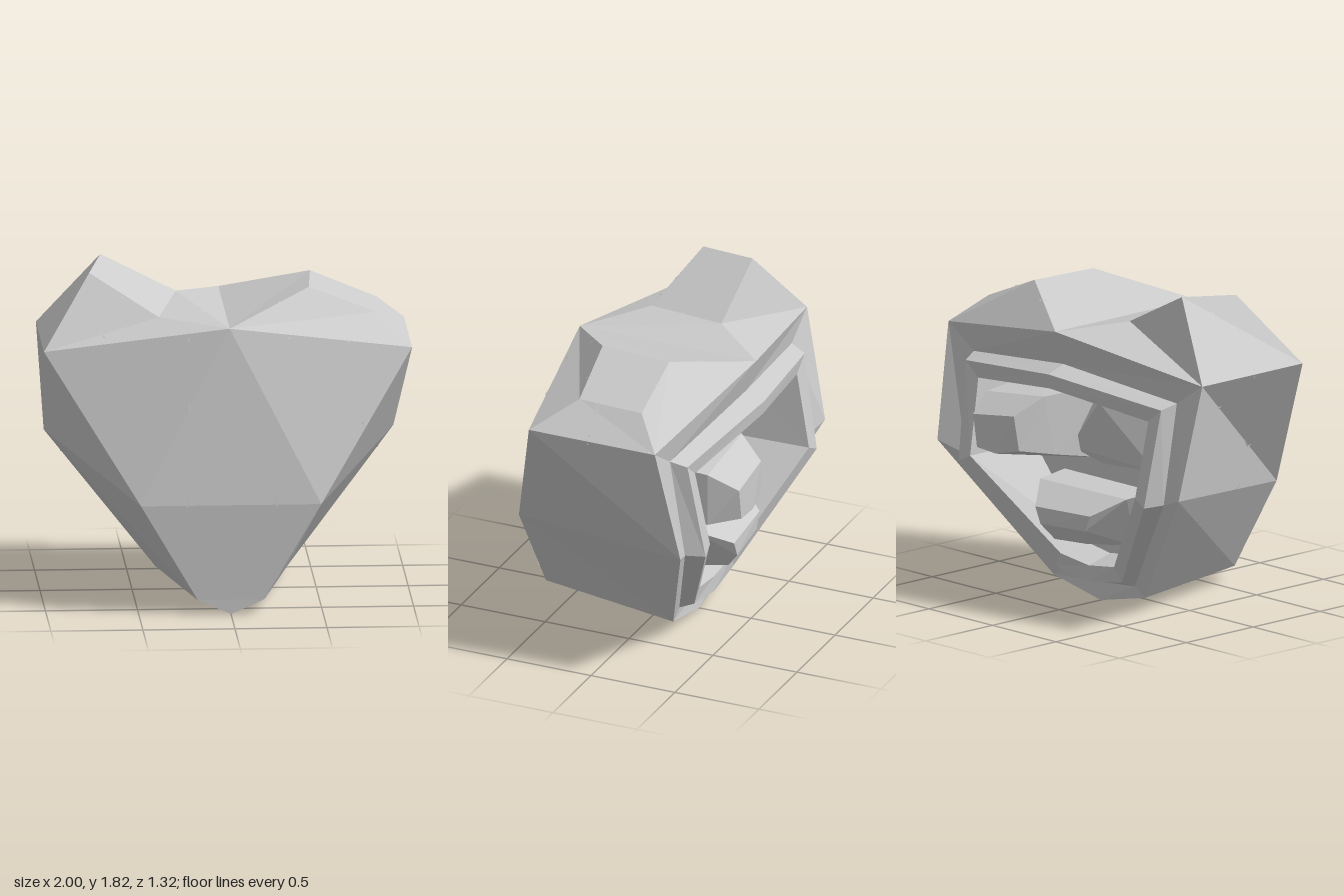
import * as THREE from 'three';
import { ConvexGeometry } from 'three/addons/geometries/ConvexGeometry.js';

const material = new THREE.MeshStandardMaterial({ color: 0xcccccc, flatShading: true, side: THREE.DoubleSide });
const v = (x, y, z) => new THREE.Vector3(x, y, z);
const mirror = (p) => v(-p.x, p.y, p.z);

// Fan each polygon into flat triangles; with a centre given, turn them outward
function facets(name, polygons, centre) {
  const pts = [];
  for (const poly of polygons) {
    for (let i = 1; i < poly.length - 1; i++) {
      const t = [poly[0], poly[i], poly[i + 1]];
      if (centre) {
        const n = t[1].clone().sub(t[0]).cross(t[2].clone().sub(t[0]));
        if (n.dot(t[0].clone().sub(centre)) < 0) t.reverse();
      }
      pts.push(...t);
    }
  }
  const geometry = new THREE.BufferGeometry().setFromPoints(pts);
  geometry.computeVertexNormals();
  const mesh = new THREE.Mesh(geometry, material);
  mesh.name = name;
  return mesh;
}

// Closed symmetric loop from top centre, down the +x side, to bottom centre and back up
function loop(top, side, bottom) {
  const half = side.map((p) => v(...p));
  return [v(...top), ...half, v(...bottom), ...half.map(mirror).reverse()];
}

// Quads between successive loops
function strips(loops) {
  const quads = [];
  for (let k = 0; k < loops.length - 1; k++) {
    const a = loops[k], b = loops[k + 1];
    a.forEach((p, i) => {
      const j = (i + 1) % a.length;
      quads.push([p, a[j], b[j], b[i]]);
    });
  }
  return quads;
}

// Rock with a small tip and a wide base, each given as [x, y, z] corners
function rock(name, corners) {
  const mesh = new THREE.Mesh(new ConvexGeometry(corners.map((p) => v(...p))), material);
  mesh.name = name;
  return mesh;
}

// Hairline cracks: flat paths projected along dir onto the shell as slim strips
function cracks(name, shell, paths, place, dir, centre) {
  const ray = new THREE.Raycaster();
  const quads = [];
  for (const path of paths) {
    for (let i = 0; i < path.length - 1; i++) {
      const a = place(...path[i]), b = place(...path[i + 1]);
      let last = null;
      for (let k = 0; k <= 10; k++) {
        ray.set(a.clone().lerp(b, k / 10).addScaledVector(dir, -3), dir);
        const hit = ray.intersectObjects(shell)[0];
        if (hit && last) {
          const n = hit.face.normal;
          const across = hit.point.clone().sub(last.point).cross(n).setLength(0.004);
          const from = last.point.clone().addScaledVector(last.face.normal, 0.003);
          const to = hit.point.clone().addScaledVector(n, 0.003);
          quads.push([from.clone().add(across), to.clone().add(across), to.sub(across), from.sub(across)]);
        }
        last = hit;
      }
    }
  }
  return facets(name, quads, centre);
}

export function createModel() {
  const group = new THREE.Group();
  group.name = 'stoneHead';
  const centre = v(0, 0.9, 0);

  // Front plate and rear rim outlines
  const front = loop([0, 1.56, 0.52], [[1, 1.41, 0.37], [0.49, 0.61, 0.66], [0.18, 0.08, 0.64]], [0, 0, 0.64]);
  const back = loop([0, 1.56, -0.53], [[1, 1.41, -0.38], [0.95, 0.78, -0.51], [0.36, 0.08, -0.2]], [0, 0, -0.19]);
  const [cf, af, df, ef, ff, efR, dfR, afR] = front;
  const [cb, ab, , , , , , abR] = back;
  const plate = facets('frontPlate', [[cf, af, df, dfR, afR], [df, ef, efR, dfR], [ef, ff, efR]], centre);

  // Sides and underside; the upper edge is left to the lobes
  const walls = [];
  for (let i = 1; i < 7; i++) walls.push([front[i], front[i + 1], back[i + 1], back[i]]);
  const sides = facets('sides', walls, centre);

  // Lower lobe on the left
  const q1 = v(0.45, 1.71, 0.18), q2 = v(0.48, 1.71, -0.23);
  const r1 = v(0.82, 1.56, 0.15), r2 = v(0.84, 1.56, -0.23);
  const leftLobe = facets('leftLobe', [
    [cf, af, r1, q1], [q1, r1, r2, q2], [r1, af, ab, r2], [q2, r2, ab, cb], [cf, q1, q2, cb],
  ], centre);

  // Taller lobe on the right
  const p1 = v(-0.74, 1.79, 0.12), p2 = v(-0.66, 1.82, -0.21);
  const p3 = v(-0.37, 1.57, 0.26), p4 = v(-0.25, 1.61, -0.21);
  const rightLobe = facets('rightLobe', [
    [cf, p3, afR], [afR, p3, p1], [p1, p3, p4, p2], [afR, p1, p2, abR], [abR, p2, p4, cb], [cf, cb, p4, p3],
  ], centre);
  const shell = [plate, sides, leftLobe, rightLobe];
  group.add(...shell);

  // Rear rim, raised frame and hollow
  const rim = loop([0, 1.37, -0.47], [[0.8, 1.28, -0.38], [0.78, 0.72, -0.46], [0.28, 0.13, -0.2]], [0, 0.1, -0.18]);
  const frame = loop([0, 1.33, -0.58], [[0.77, 1.25, -0.47], [0.73, 0.71, -0.56], [0.26, 0.16, -0.28]], [0, 0.12, -0.28]);
  const lip = loop([0, 1.25, -0.57], [[0.67, 1.17, -0.47], [0.65, 0.75, -0.55], [0.21, 0.24, -0.29]], [0, 0.21, -0.28]);
  const floor = loop([0, 1.22, -0.12], [[0.63, 1.15, -0.12], [0.6, 0.77, -0.12], [0.18, 0.28, -0.12]], [0, 0.25, -0.12]);
  group.add(facets('rearRim', strips([back, rim])));
  group.add(facets('rearFrame', strips([rim, frame, lip])));
  group.add(facets('hollow', [...strips([lip, floor]), floor]));

  // Rocks set in the hollow
  group.add(rock('upperRock', [
    [0.17, 0.88, -0.64], [0.33, 0.84, -0.66], [0.48, 0.85, -0.66], [0.51, 1.03, -0.66], [0.2, 1.07, -0.65],
    [0.1, 0.84, -0.44], [0.57, 0.82, -0.5], [0.57, 1.12, -0.5], [0.12, 1.17, -0.5],
    [0, 0.78, -0.1], [0.6, 0.78, -0.1], [0.6, 1.15, -0.1], [0, 1.2, -0.1],
  ]));
  group.add(rock('sideRock', [
    [-0.12, 1.15, -0.32], [-0.08, 0.79, -0.25], [-0.46, 0.8, -0.21], [0.12, 0.86, -0.3],
    [-0.58, 0.78, -0.1], [-0.58, 1.13, -0.1], [0.1, 1.18, -0.1], [0.1, 0.76, -0.1],
  ]));
  group.add(rock('lowerRock', [
    [-0.16, 0.46, -0.46], [0.16, 0.45, -0.49], [0.2, 0.54, -0.49], [-0.2, 0.55, -0.46],
    [-0.1, 0.37, -0.4], [0.12, 0.36, -0.42], [-0.32, 0.64, -0.3], [0.34, 0.64, -0.32],
    [-0.36, 0.66, -0.1], [0.36, 0.66, -0.1], [0.18, 0.32, -0.1], [-0.18, 0.32, -0.1],
  ]));

  // Cracks in the stone: front, both sides, top
  group.add(cracks('frontCracks', shell, [
    [[-0.87, 1.61], [-0.69, 1.53], [-0.54, 1.09], [-0.72, 1]],
    [[-0.69, 1.53], [-0.55, 1.68]],
    [[-0.54, 1.09], [-0.22, 1.07], [0.19, 1.075], [0.43, 1.17], [0.75, 1.01]],
    [[-0.22, 1.53], [-0.22, 1.07], [-0.24, 0.6], [-0.26, 0.41], [-0.36, 0.46]],
    [[-0.26, 0.41], [0.04, 0.26], [0.31, 0.33], [0.38, 0.39]],
    [[0.19, 1.075], [0.25, 0.6], [0.31, 0.33], [0.25, 0.2]],
    [[0.04, 0.26], [-0.08, 0.04]], [[0.07, 0.26], [0.08, 0.04]],
    [[0.43, 1.17], [0.43, 1.28], [0.58, 1.45], [0.8, 1.48]], [[0.43, 1.28], [0.26, 1.63]],
  ], (x, y) => v(x, y, 0), v(0, 0, -1), centre));
  const sidePaths = [
    [[0.52, 1], [0.25, 0.91], [-0.13, 0.93], [-0.27, 1.06], [-0.44, 1.06]],
    [[0.25, 0.91], [0.21, 0.7], [0.21, 0.46], [0.34, 0.3], [0.65, 0.32]],
    [[0.34, 0.3], [0.26, 0.02]], [[0.21, 0.7], [-0.33, 0.46]],
    [[0.21, 0.46], [-0.15, 0.39], [-0.15, 0.13]],
    [[-0.13, 0.93], [-0.24, 0.78], [-0.48, 0.66]],
    [[0.25, 0.91], [0, 1.27], [0.06, 1.68]],
    [[0, 1.27], [-0.28, 1.21], [-0.2, 1.13], [-0.27, 1.06]],
  ];
  for (const s of [1, -1]) {
    const name = s > 0 ? 'leftCracks' : 'rightCracks';
    group.add(cracks(name, shell, sidePaths, (z, y) => v(0, y, z), v(-s, 0, 0), centre));
  }
  group.add(cracks('topCracks', shell, [
    [[-0.19, 0.45], [-0.09, 0.1], [0.12, 0.01], [0.22, 0.24], [0.43, 0.44]],
    [[-0.09, 0.1], [-0.48, 0.01], [-0.53, -0.06], [-0.72, -0.07], [-0.93, 0.01]],
    [[0.12, 0.01], [0.17, -0.25], [0.45, -0.45], [0.65, -0.22], [0.66, 0.05], [0.65, 0.38]],
    [[0.12, 0.01], [0.66, 0.05], [0.98, 0.01]], [[-0.02, -0.5], [0, -0.3], [0.17, -0.25]],
  ], (x, z) => v(x, 0, z), v(0, -1, 0), centre));
  return group;
}
